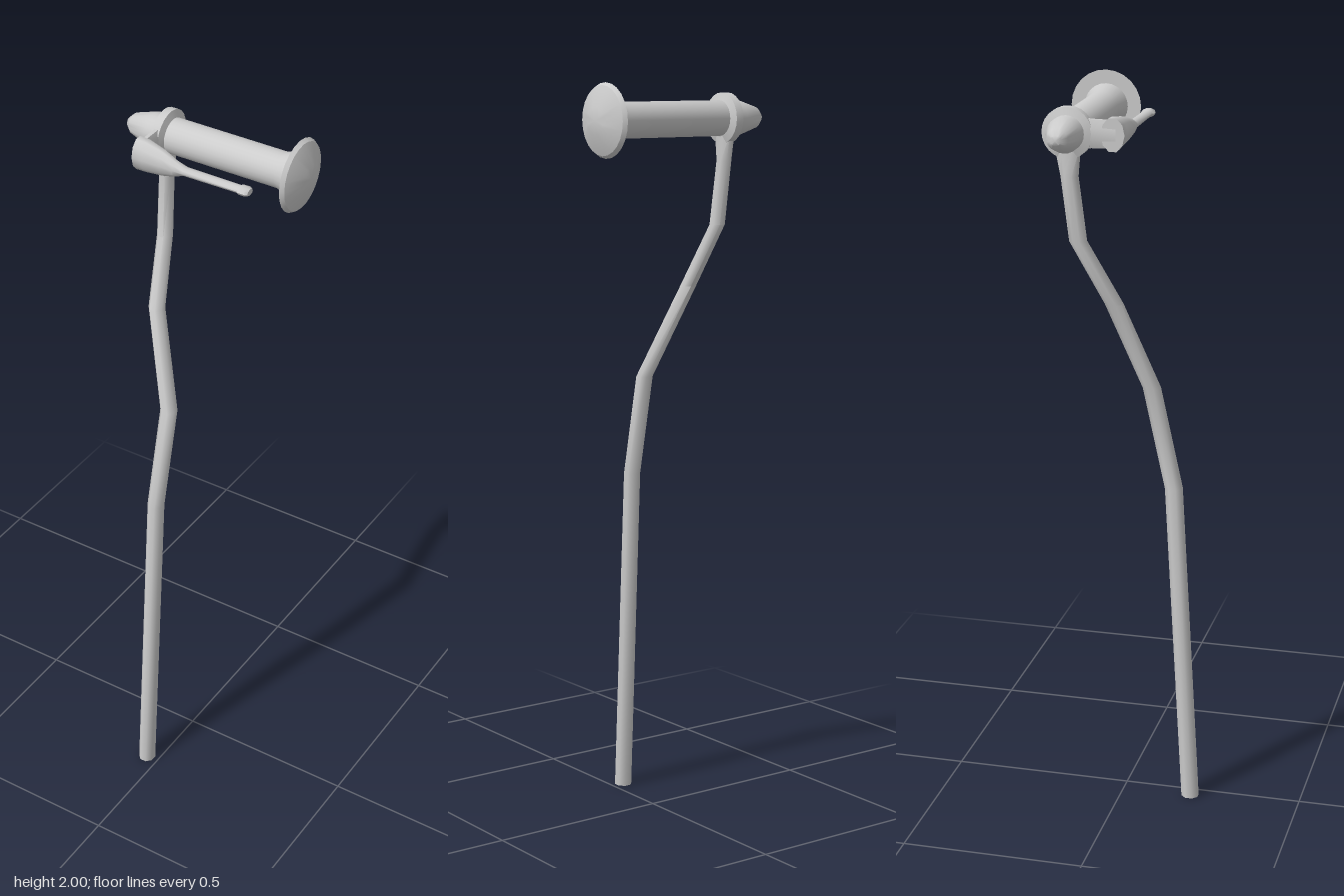
import * as THREE from 'three';
import { toCreasedNormals } from 'three/addons/utils/BufferGeometryUtils.js';

const GRIP_Y = 1.903, GRIP_Z = -0.118, COLLAR_X = -0.149;
const material = new THREE.MeshStandardMaterial({ color: 0xcccccc });

// Ring directions (u, v) for each loft axis, with u x v along the axis
const FRAMES = {
  x: [new THREE.Vector3(0, 1, 0), new THREE.Vector3(0, 0, 1)],
  y: [new THREE.Vector3(0, 0, 1), new THREE.Vector3(1, 0, 0)],
  z: [new THREE.Vector3(1, 0, 0), new THREE.Vector3(0, 1, 0)],
};

// Skin over cross-sections [x, y, z, half size along u, half size along v], capped at both ends
function loft(axis, sections, sides, crease) {
  const [u, v] = FRAMES[axis];
  const grow = 1 / Math.cos(Math.PI / sides);
  const positions = [], index = [];
  for (const [x, y, z, a, b] of sections) {
    for (let i = 0; i < sides; i++) {
      const t = ((i + 0.5) / sides) * Math.PI * 2;
      const p = new THREE.Vector3(x, y, z)
        .addScaledVector(u, Math.cos(t) * a * grow)
        .addScaledVector(v, Math.sin(t) * b * grow);
      positions.push(p.x, p.y, p.z);
    }
  }
  const last = (sections.length - 1) * sides;
  for (let s = 0; s < last; s += sides) {
    for (let i = 0; i < sides; i++) {
      const j = (i + 1) % sides;
      index.push(s + i, s + j, s + sides + j, s + i, s + sides + j, s + sides + i);
    }
  }
  for (let i = 1; i < sides - 1; i++) {
    index.push(0, i + 1, i, last, last + i, last + i + 1);
  }
  const geometry = new THREE.BufferGeometry();
  geometry.setAttribute('position', new THREE.Float32BufferAttribute(positions, 3));
  geometry.setIndex(index);
  return toCreasedNormals(geometry, crease);
}

// Turned part lying along x; profile points are [radius, x]
function turned(profile, centreX) {
  const points = profile.map(([r, x]) => new THREE.Vector2(r, x));
  const geometry = toCreasedNormals(new THREE.LatheGeometry(points, 24), 0.6);
  geometry.rotateZ(-Math.PI / 2);
  geometry.translate(centreX, GRIP_Y, GRIP_Z);
  return geometry;
}

export function createModel() {
  const group = new THREE.Group();
  const add = (name, geometry) => {
    const mesh = new THREE.Mesh(geometry, material);
    mesh.name = name;
    group.add(mesh);
  };

  // Bent tube rising from the ground to the collar
  add('stem', loft('y', [
    [-0.036, 0, 0.193, 0.023, 0.022],
    [-0.03, 0.92, 0.138, 0.023, 0.021],
    [-0.027, 1.2, 0.075, 0.023, 0.021],
    [-0.115, 1.45, -0.006, 0.023, 0.02],
    [-0.145, 1.62, -0.094, 0.022, 0.019],
    [-0.151, 1.79, -0.114, 0.022, 0.018],
    [-0.15, 1.86, -0.118, 0.032, 0.018],
  ], 8, 0.9));

  // Handle with a pointed nose and a flared end disc
  add('grip', turned([
    [0, -0.27], [0.013, -0.266], [0.028, -0.25], [0.047, -0.19],
    [0.047, 0.19], [0.06, 0.236], [0.097, 0.236], [0.09, 0.247],
    [0.036, 0.27], [0, 0.271],
  ], 0));

  // Tapered clamp ring around the grip
  add('collar', turned([
    [0.045, -0.018], [0.067, -0.011], [0.067, 0.011], [0.045, 0.018],
  ], COLLAR_X));

  // Short arm from the collar forward to the lever
  add('leverBracket', loft('z', [
    [COLLAR_X, GRIP_Y, -0.085, 0.015, 0.04],
    [COLLAR_X, GRIP_Y, -0.055, 0.012, 0.037],
    [COLLAR_X, GRIP_Y, 0.01, 0.011, 0.036],
  ], 8, 0.6));

  // Lever: broad root narrowing to a flat rod with a rounded end
  add('lever', loft('x', [
    [-0.16, GRIP_Y, 0.002, 0.043, 0.03],
    [-0.13, GRIP_Y, 0.003, 0.042, 0.029],
    [-0.08, GRIP_Y, 0.01, 0.034, 0.022],
    [-0.04, GRIP_Y, 0.017, 0.022, 0.016],
    [-0.01, GRIP_Y, 0.017, 0.01, 0.0145],
    [0.145, GRIP_Y, 0.017, 0.009, 0.0135],
    [0.152, GRIP_Y, 0.017, 0.011, 0.0175],
    [0.17, GRIP_Y, 0.017, 0.011, 0.0175],
    [0.177, GRIP_Y, 0.017, 0.008, 0.012],
  ], 10, 0.9));

  return group;
}
